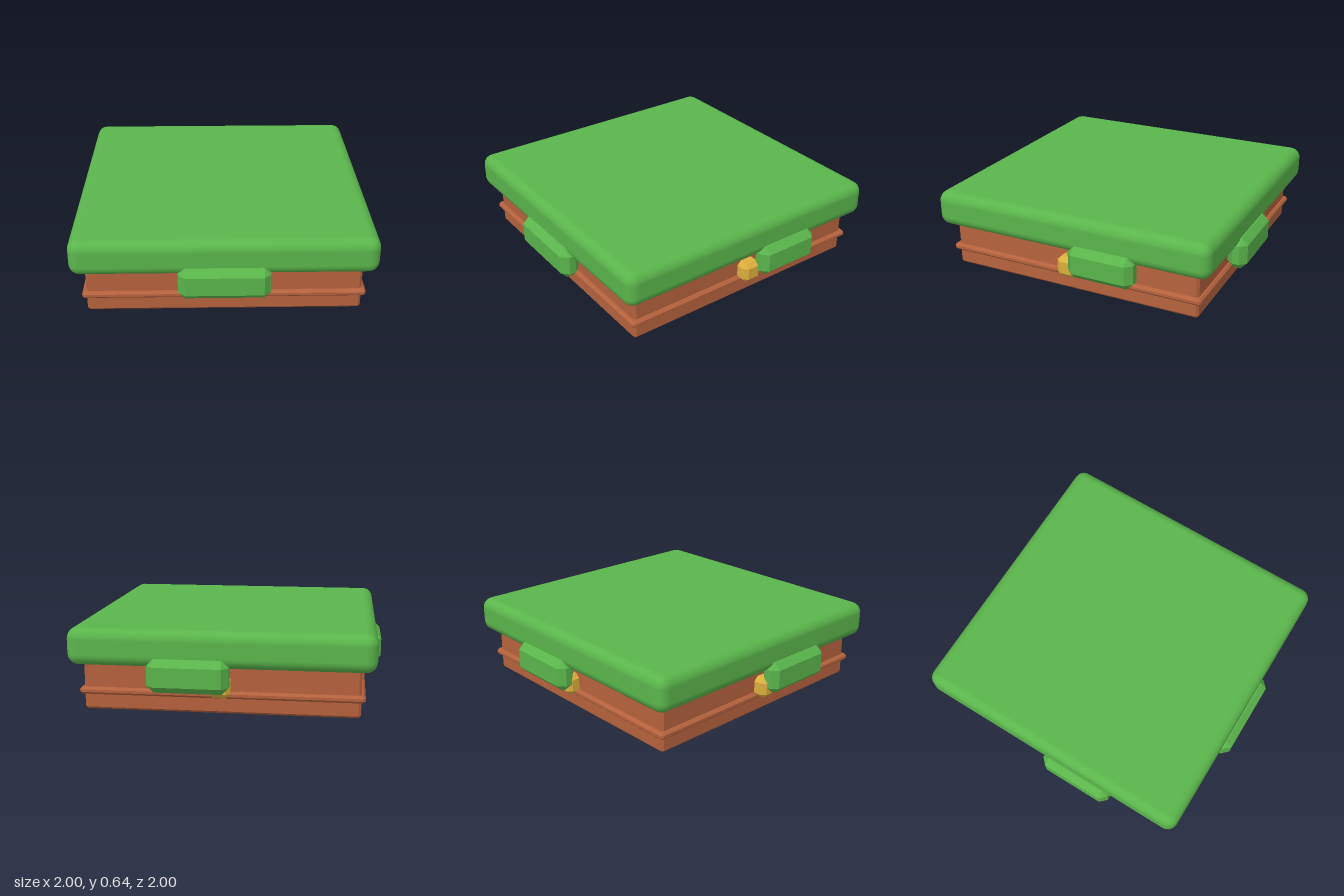
import * as THREE from 'three';
import { RoundedBoxGeometry } from 'three/addons/geometries/RoundedBoxGeometry.js';
import { ConvexGeometry } from 'three/addons/geometries/ConvexGeometry.js';

const green = new THREE.MeshStandardMaterial({ color: 0x5ab54b });
const brown = new THREE.MeshStandardMaterial({ color: 0xb5623d });
const brownFlat = new THREE.MeshStandardMaterial({ color: 0xb5623d, flatShading: true });
const gold = new THREE.MeshStandardMaterial({ color: 0xdcae3c });

// Box with one flat 45 degree chamfer along every edge
function chamferBox(w, h, d, c) {
  const points = [];
  for (const x of [-1, 1]) for (const y of [-1, 1]) for (const z of [-1, 1]) {
    for (let axis = 0; axis < 3; axis++) {
      const half = [w / 2 - c, h / 2 - c, d / 2 - c];
      half[axis] += c;
      points.push(new THREE.Vector3(x * half[0], y * half[1], z * half[2]));
    }
  }
  return new ConvexGeometry(points);
}

function add(parent, name, geometry, material, x, y, z) {
  const mesh = new THREE.Mesh(geometry, material);
  mesh.name = name;
  mesh.position.set(x, y, z);
  parent.add(mesh);
  return mesh;
}

export function createModel() {
  const model = new THREE.Group();
  model.name = 'grassPlatform';

  // Grass top, earth block, moulding around it and faceted underside
  add(model, 'grassCap', new RoundedBoxGeometry(1.9, 0.235, 1.9, 3, 0.07), green, 0, 0.5225, 0);
  add(model, 'earthBody', chamferBox(1.72, 0.37, 1.72, 0.015), brown, 0, 0.295, 0);
  add(model, 'trimBand', chamferBox(1.77, 0.045, 1.77, 0.014), brown, 0, 0.2335, 0);
  const underside = add(model, 'underside', new THREE.CylinderGeometry(0.67, 0.35, 0.11, 8), brownFlat, 0, 0.055, 0);
  underside.rotation.y = Math.PI / 8;

  // Each side: [name, turn, tab centre along the side, tab width]
  const sides = [
    ['front', 0, 0, 0.57],
    ['left', Math.PI / 2, 0.257, 0.445],
    ['back', Math.PI, -0.188, 0.505],
    ['right', -Math.PI / 2, 0.218, 0.505],
  ];
  for (const [name, turn, offset, width] of sides) {
    const side = new THREE.Group();
    side.name = name + 'Side';
    side.rotation.y = turn;
    add(side, 'grassTab', chamferBox(width, 0.21, 0.13, 0.043), green, offset, 0.363, 0.935);
    add(side, 'goldStud', chamferBox(0.135, 0.135, 0.13, 0.028), gold, 0, 0.292, 0.875);
    model.add(side);
  }
  return model;
}
